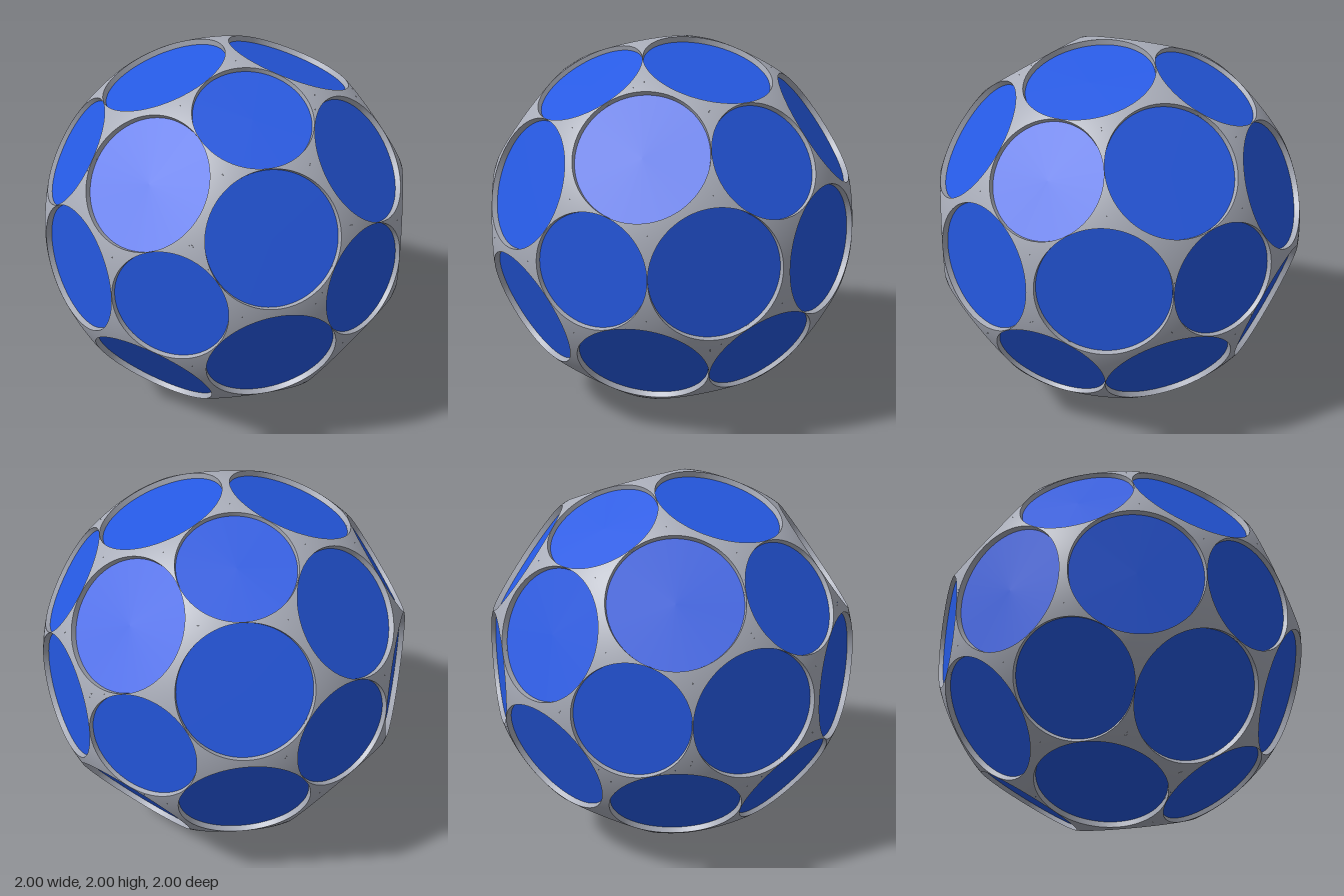
import * as THREE from 'three';

const PHI = (1 + Math.sqrt(5)) / 2;
const SEGMENTS = 120;
const CENTRE = new THREE.Vector3(0, 1, 0);

// Pocket sizes: opening radius on the unit sphere, floor radius and floor distance
const SMALL = { rim: 0.3, floor: 0.294, depth: 0.93 };
const LARGE = { rim: 0.337, floor: 0.331, depth: 0.912 };
for (const p of [SMALL, LARGE]) p.height = Math.sqrt(1 - p.rim * p.rim);

// 12 small and 20 large pocket directions
function pocketList() {
  const list = [];
  const add = (kind, x, y, z) =>
    list.push({ kind, n: new THREE.Vector3(x, y, z).normalize() });
  for (const s of [-1, 1]) for (const t of [-1, 1]) {
    add(SMALL, 0, s * PHI, t);
    add(SMALL, t, 0, s * PHI);
    add(SMALL, s * PHI, t, 0);
    add(LARGE, 0, s / PHI, t * PHI);
    add(LARGE, t * PHI, 0, s / PHI);
    add(LARGE, s / PHI, t * PHI, 0);
    for (const u of [-1, 1]) add(LARGE, s, t, u);
  }
  return list;
}

// Local frame: y along the pocket, x towards the nearest small pocket
function frameOf(pocket, pockets) {
  let best = null;
  for (const q of pockets) {
    if (q === pocket || q.kind !== SMALL) continue;
    if (!best || q.n.dot(pocket.n) > best.n.dot(pocket.n) + 1e-6) best = q;
  }
  const x = best.n.clone().addScaledVector(pocket.n, -best.n.dot(pocket.n)).normalize();
  const z = new THREE.Vector3().crossVectors(x, pocket.n);
  return new THREE.Matrix4().makeBasis(x, pocket.n, z);
}

// Piece of sphere between a pocket opening and the borders with its neighbours
function tileGeometry(pocket, pockets, frame) {
  const inverse = frame.clone().invert();
  const borders = pockets.filter(q => q !== pocket && q.n.dot(pocket.n) > 0.5).map(q =>
    new THREE.Vector3(0, 1 / pocket.kind.height, 0)
      .addScaledVector(q.n.clone().applyMatrix4(inverse), -1 / q.kind.height));
  const rings = 4, positions = [], index = [];
  const inner = Math.asin(pocket.kind.rim);
  for (let i = 0; i <= SEGMENTS; i++) {
    const a = (i / SEGMENTS) * Math.PI * 2, c = Math.cos(a), s = Math.sin(a);
    let outer = Math.PI / 4;
    for (const w of borders) {
      const slope = c * w.x + s * w.z;
      if (slope < 0) outer = Math.min(outer, Math.atan(-w.y / slope));
    }
    for (let j = 0; j <= rings; j++) {
      const t = inner + (outer - inner) * j / rings;
      positions.push(Math.sin(t) * c, Math.cos(t), Math.sin(t) * s);
      if (i < SEGMENTS && j < rings) {
        const p = i * (rings + 1) + j, q = p + rings + 1;
        index.push(p, q, p + 1, q, q + 1, p + 1);
      }
    }
  }
  const g = new THREE.BufferGeometry();
  g.setAttribute('position', new THREE.Float32BufferAttribute(positions, 3));
  g.setAttribute('normal', new THREE.Float32BufferAttribute(positions, 3)); // unit sphere
  g.setIndex(index);
  return g;
}

export function createModel() {
  const model = new THREE.Group();
  model.name = 'dimpledBall';
  const grey = new THREE.MeshStandardMaterial({ color: 0xa9adb9 });
  grey.name = 'shell grey';
  const blue = new THREE.MeshStandardMaterial({ color: 0x2559e2 });
  blue.name = 'disc blue';

  const pockets = pocketList();
  const parts = new Map();
  pockets.forEach((pocket, i) => {
    const { kind } = pocket;
    const frame = frameOf(pocket, pockets);

    // One set of geometries per pocket size
    if (!parts.has(kind)) {
      const wall = new THREE.LatheGeometry([
        new THREE.Vector2(kind.rim, kind.height),
        new THREE.Vector2(kind.floor, kind.depth),
      ], SEGMENTS);
      const disc = new THREE.CircleGeometry(kind.floor, SEGMENTS);
      disc.rotateX(-Math.PI / 2).translate(0, kind.depth, 0);
      parts.set(kind, [
        ['shellTile', tileGeometry(pocket, pockets, frame), grey],
        ['pocketWall', wall, grey],
        ['disc', disc, blue],
      ]);
    }

    const panel = new THREE.Group();
    panel.name = (kind === SMALL ? 'smallPanel' : 'largePanel') + (i + 1);
    for (const [name, geometry, material] of parts.get(kind)) {
      const mesh = new THREE.Mesh(geometry, material);
      mesh.name = name;
      panel.add(mesh);
    }
    panel.quaternion.setFromRotationMatrix(frame);
    panel.position.copy(CENTRE);
    model.add(panel);
  });
  return model;
}
